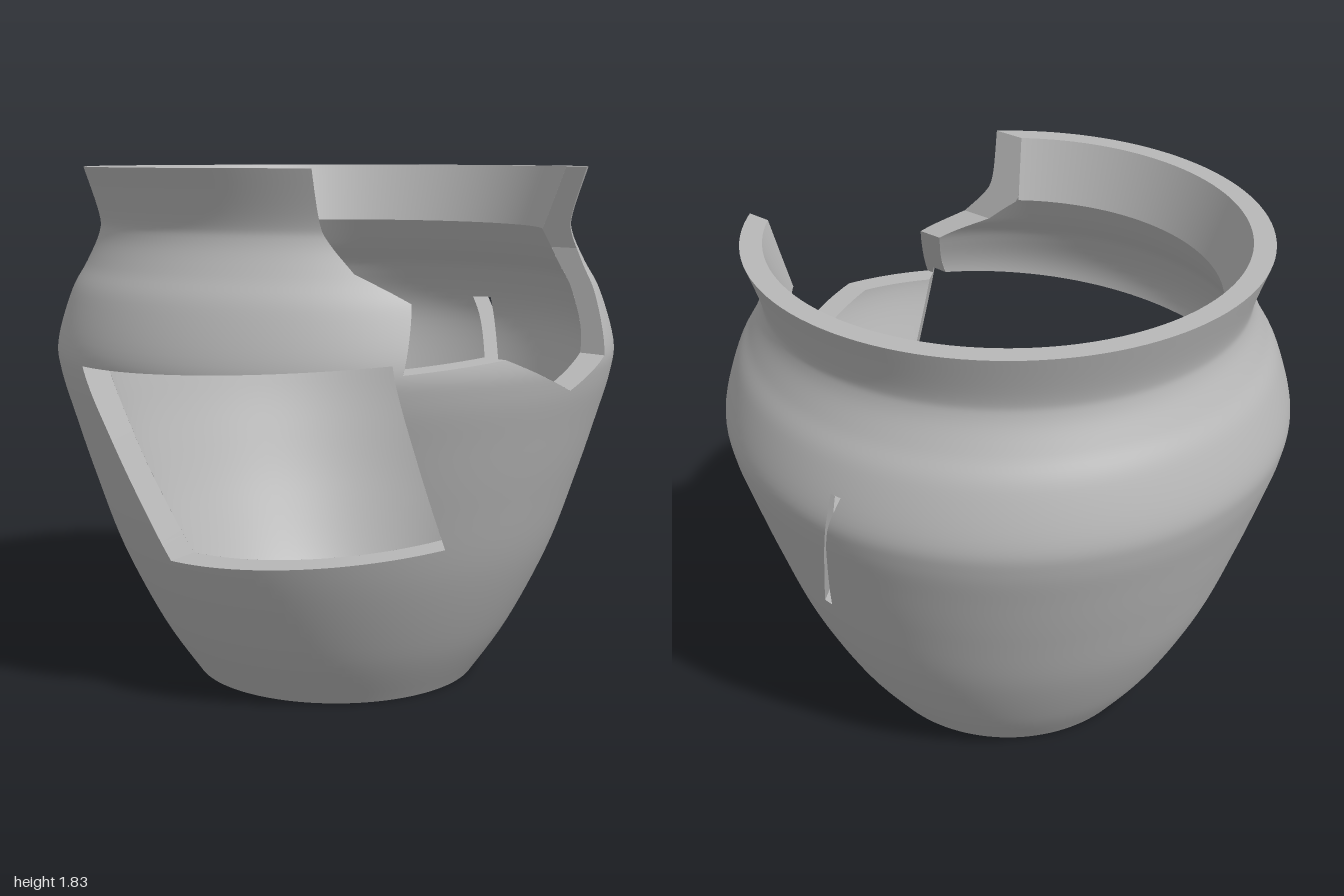
import * as THREE from 'three';

const V = (x, y, z) => new THREE.Vector3(x, y, z);
const lerp = THREE.MathUtils.lerp;
const SEGMENTS = 120, TOP = 1.83;

// Profiles as [radius, height], outer going up and inner going down
const smooth = (pts, n) =>
  new THREE.SplineCurve(pts.map(p => new THREE.Vector2(...p))).getPoints(n).map(p => [p.x, p.y]);
const outer = smooth([[0.515, 0], [0.648, 0.2], [0.786, 0.48], [0.88, 0.75], [0.945, 0.96], [0.99, 1.12],
  [0.997, 1.23], [0.945, 1.4], [0.89, 1.5], [0.845, 1.6], [0.845, 1.67], [0.895, TOP]], 66);
const inner = smooth([[0.74, 1.61], [0.8, 1.5], [0.86, 1.4], [0.907, 1.22], [0.85, 0.96],
  [0.785, 0.75], [0.69, 0.5], [0.54, 0.2], [0.4, 0.04]], 54);
const neck = [[0.82, TOP], [0.74, 1.61]];
const innerUp = [...neck, ...inner.slice(1)].reverse();

function radiusAt(profile, y) {
  let i = 1;
  while (i < profile.length - 1 && profile[i][1] < y) i++;
  const [r0, y0] = profile[i - 1], [r1, y1] = profile[i];
  return lerp(r0, r1, (y - y0) / (y1 - y0));
}
function inShell(p) {
  const r = Math.hypot(p.x, p.z);
  return p.y < TOP && p.y > 0.04 && r < radiusAt(outer, p.y) && r > radiusAt(innerUp, p.y);
}

// Convex cutters are lists of planes whose positive side is inside
function planeThrough(a, b, c, inside) {
  const plane = new THREE.Plane().setFromCoplanarPoints(a, b, c);
  return plane.distanceToPoint(inside) < 0 ? plane.negate() : plane;
}

// Jagged break, cut straight back through the front of the neck and shoulder
const breakLine = [[-0.67, TOP], [-0.57, 1.51], [-0.46, 1.42], [-0.53, 1.21], [-0.2, 1.24],
  [0.12, 1.11], [0.37, 1.2], [0.455, 1.55], [0.455, TOP]];
const breakOutline = breakLine.map(([x, y]) => new THREE.Vector2(x, y === TOP ? 1.9 : y));
breakOutline.splice(0, 1, new THREE.Vector2(-0.67, 1.9), new THREE.Vector2(-0.67, TOP));
const breakCut = THREE.ShapeUtils.triangulateShape(breakOutline, []).map(tri => {
  const t = tri.map(i => V(breakOutline[i].x, breakOutline[i].y, 0));
  const mid = V(0, 0, 0).add(t[0]).add(t[1]).add(t[2]).divideScalar(3);
  const sides = t.map((a, i) => planeThrough(a, t[(i + 1) % 3], a.clone().setZ(1), mid));
  return [...sides, new THREE.Plane(V(0, 0, 1), 0)];
});

// Wedge running from the large side opening to the narrow slit opposite
const center = V(-0.4, 0.9, 0.3);
const lowL = V(-0.78, 0.53, 0.04), lowR = V(-0.25, 0.61, 0.78);
const slitLow = V(0.88, 0.73, 0.07), slitHigh = V(0.985, 1.305, -0.115);
const wedgeL = planeThrough(lowL, slitLow, slitHigh, center);
const wedgeR = planeThrough(lowR, V(0.88, 0.74, 0.096), V(0.985, 1.316, -0.084), center);
const wedgeB = planeThrough(lowL, lowR, slitLow, center);
const wedgeT = planeThrough(V(-0.98, 1.18, -0.19), V(-0.55, 1.24, 0.835), slitHigh, center);
const wedgeCut = [[wedgeL, wedgeR, wedgeB, wedgeT]];

function meet(a, b, c) {
  const bc = b.normal.clone().cross(c.normal);
  const ca = c.normal.clone().cross(a.normal);
  const ab = a.normal.clone().cross(b.normal);
  const det = a.normal.dot(bc);
  return bc.multiplyScalar(-a.constant).addScaledVector(ca, -b.constant)
    .addScaledVector(ab, -c.constant).divideScalar(det);
}

// Polygon vertices are {p, n}; keep the part on one side of a plane
function clip(poly, plane, sign) {
  const out = [];
  poly.forEach((a, i) => {
    const b = poly[(i + 1) % poly.length];
    const da = sign * plane.distanceToPoint(a.p), db = sign * plane.distanceToPoint(b.p);
    if (da >= 0) out.push(a);
    if ((da > 0 && db < 0) || (da < 0 && db > 0)) {
      const t = da / (da - db);
      out.push({ p: a.p.clone().lerp(b.p, t), n: a.n.clone().lerp(b.n, t) });
    }
  });
  return out;
}
function subtractConvex(poly, planes) {
  const kept = [];
  let rest = poly;
  for (const plane of planes) {
    const outside = clip(rest, plane, -1);
    if (outside.length > 2) kept.push(outside);
    rest = clip(rest, plane, 1);
    if (rest.length < 3) return [poly];
  }
  return kept;
}
function subtract(polys, cutters) {
  for (const planes of cutters) polys = polys.flatMap(poly => subtractConvex(poly, planes));
  return polys;
}

function meshFrom(name, polys, material, flat) {
  const pos = [], nor = [];
  for (const poly of polys) {
    for (let i = 2; i < poly.length; i++) {
      for (const v of [poly[0], poly[i - 1], poly[i]]) {
        pos.push(v.p.x, v.p.y, v.p.z);
        const n = v.n.clone().normalize();
        nor.push(n.x, n.y, n.z);
      }
    }
  }
  const geo = new THREE.BufferGeometry();
  geo.setAttribute('position', new THREE.Float32BufferAttribute(pos, 3));
  geo.setAttribute('normal', new THREE.Float32BufferAttribute(nor, 3));
  if (flat) geo.computeVertexNormals();
  const mesh = new THREE.Mesh(geo, material);
  mesh.name = name;
  return mesh;
}

// Turned surface with smooth normals
function turned(profile) {
  const vertex = (j, i) => {
    const [r, y] = profile[j], a = (i / SEGMENTS) * Math.PI * 2;
    const before = profile[Math.max(j - 1, 0)], after = profile[Math.min(j + 1, profile.length - 1)];
    const dr = after[0] - before[0], dy = after[1] - before[1];
    const s = Math.sin(a), c = Math.cos(a);
    return { p: V(r * s, y, r * c), n: V(dy * s, -dr, dy * c).normalize() };
  };
  const polys = [];
  for (let j = 0; j < profile.length - 1; j++) {
    for (let i = 0; i < SEGMENTS; i++) {
      const a = vertex(j, i), b = vertex(j, i + 1), c = vertex(j + 1, i + 1), d = vertex(j + 1, i);
      polys.push([a, b, c], [a, c, d]);
    }
  }
  return polys;
}

// Stretches of a line that lie within the thickness of the pot
function spans(a, b) {
  const at = t => a.clone().lerp(b, t), hits = [], steps = 240;
  let was = inShell(a);
  if (was) hits.push(a.clone());
  for (let k = 1; k <= steps; k++) {
    const now = inShell(at(k / steps));
    if (now !== was) {
      let lo = (k - 1) / steps, hi = k / steps;
      for (let m = 0; m < 20; m++) {
        const mid = (lo + hi) / 2;
        if (inShell(at(mid)) === was) lo = mid; else hi = mid;
      }
      hits.push(at(hi));
    }
    was = now;
  }
  if (was) hits.push(b.clone());
  return hits;
}

// Cut face swept between two lines a0-a1 and b0-b1
function cutFace(a0, a1, b0, b1, rows) {
  const polys = [], n = V(0, 1, 0);
  let last = null;
  for (let k = 0; k <= rows; k++) {
    const now = spans(a0.clone().lerp(b0, k / rows), a1.clone().lerp(b1, k / rows));
    if (last && last.length === now.length) {
      for (let i = 0; i + 1 < now.length; i += 2) {
        const [a, b, c, d] = [last[i], last[i + 1], now[i + 1], now[i]].map(p => ({ p, n }));
        polys.push([a, b, c], [a, c, d]);
      }
    }
    last = now;
  }
  return polys;
}

export function createModel() {
  const group = new THREE.Group();
  group.name = 'brokenPot';
  const clay = new THREE.MeshStandardMaterial({ color: 0xb8b8b8, side: THREE.DoubleSide });
  clay.name = 'grey clay';

  // Pot surfaces with both openings removed
  const surfaces = {
    outerWall: outer, rim: [[0.895, TOP], [0.82, TOP]], neckLining: neck, innerWall: inner,
    floor: [[0.4, 0.04], [0, 0.04]], base: [[0, 0], [0.515, 0]],
  };
  for (const [name, profile] of Object.entries(surfaces)) {
    group.add(meshFrom(name, subtract(turned(profile), [...breakCut, ...wedgeCut]), clay, false));
  }

  // Edge of the jagged break
  const breakFaces = [];
  for (let i = 0; i < breakLine.length - 1; i++) {
    const [[x0, y0], [x1, y1]] = [breakLine[i], breakLine[i + 1]].map(([x, y]) => [x, Math.min(y, TOP - 1e-4)]);
    breakFaces.push(...cutFace(V(x0, y0, 0.2), V(x0, y0, 1.1), V(x1, y1, 0.2), V(x1, y1, 1.1), 14));
  }
  group.add(meshFrom('brokenEdge', subtract(breakFaces, wedgeCut), clay, true));

  // Edges of the side opening and slit
  const slitEnd = new THREE.Plane().setFromNormalAndCoplanarPoint(V(0.57, -0.11, 0).normalize(), V(0.926, 0.735, 0));
  const mouth = new THREE.Plane(V(-0.8, 0, 0.6), -1.06);
  const corners = [[wedgeL, wedgeB], [wedgeR, wedgeB], [wedgeR, wedgeT], [wedgeL, wedgeT]]
    .map(([a, b]) => [meet(a, b, slitEnd), meet(a, b, mouth)]);
  const wedgeFaces = corners.flatMap(([s, h], i) => {
    const [s2, h2] = corners[(i + 1) % 4];
    return cutFace(s, h, s2, h2, 40);
  });
  group.add(meshFrom('sideOpeningEdge', subtract(wedgeFaces, breakCut), clay, true));
  return group;
}
